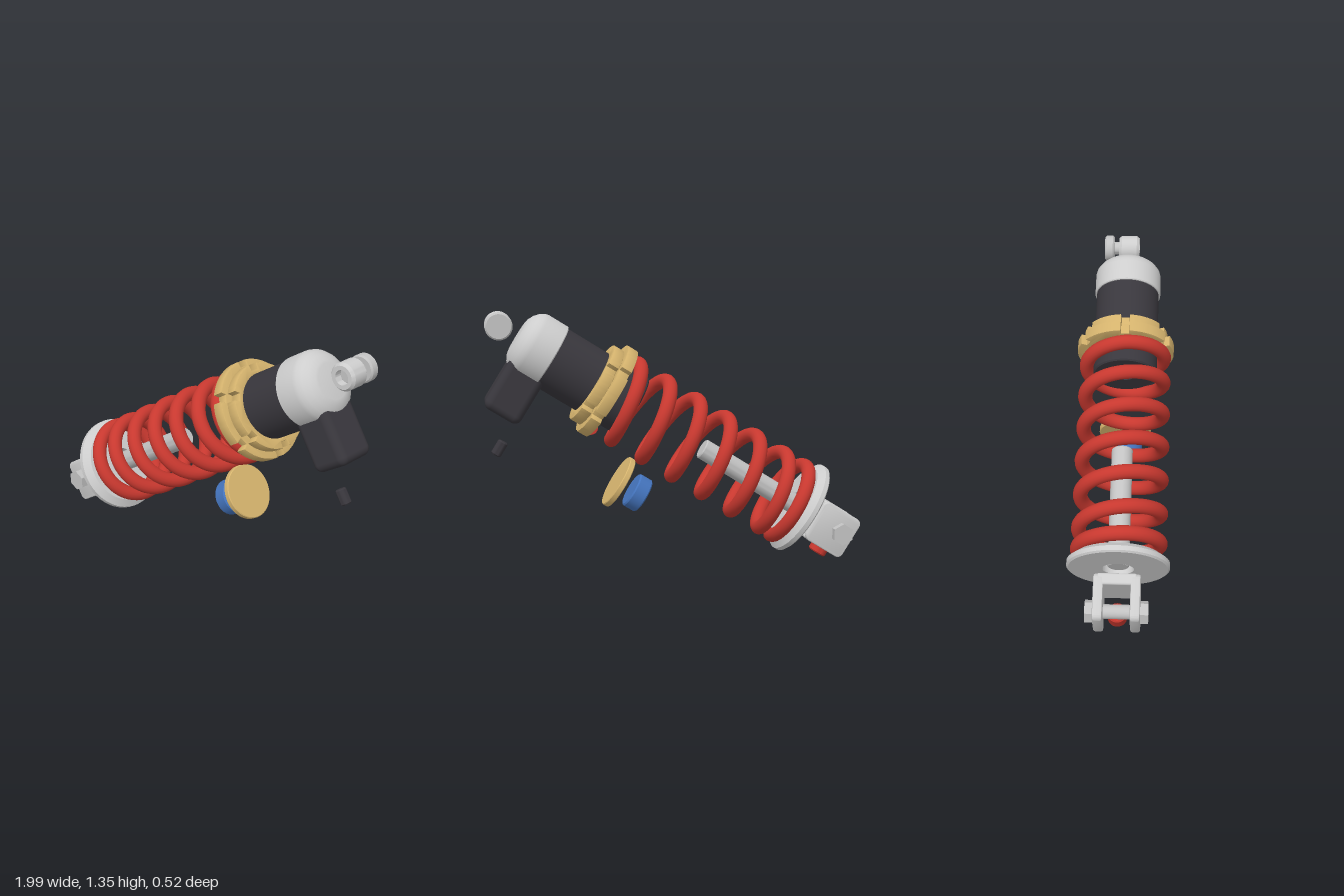
import * as THREE from 'three';
import { toCreasedNormals } from 'three/addons/utils/BufferGeometryUtils.js';
import { RoundedBoxGeometry } from 'three/addons/geometries/RoundedBoxGeometry.js';

const paint = (name, color) => Object.assign(new THREE.MeshStandardMaterial({ color }), { name });
const V2 = (p) => new THREE.Vector2(p[0], p[1]);

// turned part from [radius, height] pairs, listed bottom to top
const lathe = (pts, seg = 48) => toCreasedNormals(new THREE.LatheGeometry(pts.map(V2), seg), 0.55);
// cylinder with chamfered rims
const puck = (r, h, c, seg = 40) => lathe([[0, -h / 2], [r - c, -h / 2], [r, c - h / 2], [r, h / 2 - c], [r - c, h / 2], [0, h / 2]], seg);

const extrude = (shape, depth, b) => toCreasedNormals(new THREE.ExtrudeGeometry(shape, {
  depth: depth - 2 * b, bevelThickness: b, bevelSize: b, bevelOffset: -b, bevelSegments: 2, curveSegments: 12,
}), 0.6).translate(0, 0, b - depth / 2);

// adjuster ring with six spanner slots
function slottedRing(R, inner, h) {
  const s = new THREE.Shape(), half = 0.024 / R, floor = R - 0.032;
  for (let i = 0; i < 6; i++) {
    const a = i * Math.PI / 3 + half, b = (i + 1) * Math.PI / 3 - half;
    s.absarc(0, 0, R, a, b, false);
    s.lineTo(floor * Math.cos(b), floor * Math.sin(b));
    s.lineTo(floor * Math.cos(b + 2 * half), floor * Math.sin(b + 2 * half));
  }
  s.closePath();
  s.holes.push(new THREE.Path().absarc(0, 0, inner, 0, Math.PI * 2, true));
  return extrude(s, h, 0.005).rotateX(-Math.PI / 2);
}

function roundedRect(w, h, r) {
  const s = new THREE.Shape(), x = w / 2 - r, y = h / 2 - r;
  s.absarc(x, y, r, 0, Math.PI / 2, false);
  s.absarc(-x, y, r, Math.PI / 2, Math.PI, false);
  s.absarc(-x, -y, r, Math.PI, Math.PI * 1.5, false);
  s.absarc(x, -y, r, Math.PI * 1.5, Math.PI * 2, false);
  s.closePath();
  return s;
}

// seven-turn helix with closely wound ends
class SpringCurve extends THREE.Curve {
  getPoint(u, target = new THREE.Vector3()) {
    const turns = [0, 0.5, 1, 1.5, 2, 5.5, 6, 6.5, 7];
    const height = [0.068, 0.102, 0.148, 0.242, 0.332, 0.993, 1.087, 1.172, 1.212];
    const n = u * 7, a = n * Math.PI * 2;
    let i = 0;
    while (i < turns.length - 2 && n > turns[i + 1]) i++;
    const y = THREE.MathUtils.mapLinear(n, turns[i], turns[i + 1], height[i], height[i + 1]);
    return target.set(0.208 * Math.cos(a), y, -0.208 * Math.sin(a));
  }
}

export function createModel() {
  const red = paint('spring red', 0xc8382f);
  const gold = paint('anodised gold', 0xd6b46e);
  const light = paint('light metal', 0xcdcdcd);
  const steel = paint('steel', 0xc2c2c2);
  const dark = paint('dark grey', 0x39373d);
  const blue = paint('piston blue', 0x4474bd);

  // everything is built along local y, then tilted
  const model = new THREE.Group();
  model.name = 'shockAbsorber';
  const axis = new THREE.Group();
  axis.name = 'damperAssembly';
  axis.rotation.z = -THREE.MathUtils.degToRad(58);
  axis.position.set(-0.682, 0.275, 0);
  model.add(axis);

  const add = (name, geo, mat, x = 0, y = 0, z = 0, parent = axis) => {
    const m = new THREE.Mesh(geo, mat);
    m.name = name;
    m.position.set(x, y, z);
    parent.add(m);
    return m;
  };

  // lower spring plate and piston rod
  add('springPlate', lathe([[0.08, -0.012], [0.25, -0.012], [0.26, -0.004], [0.26, 0.02], [0.222, 0.048],
    [0.08, 0.048], [0.08, -0.012]], 64), light);
  add('pistonRod', puck(0.055, 0.645, 0.006), steel, 0, 0.322);

  // coil spring with closed ends
  const curve = new SpringCurve();
  curve.arcLengthDivisions = 800;
  add('coilSpring', new THREE.TubeGeometry(curve, 480, 0.038, 16), red);
  for (const u of [0, 1]) {
    const cap = add('springEnd', new THREE.CircleGeometry(0.038, 16), red);
    cap.position.copy(curve.getPointAt(u));
    cap.quaternion.setFromUnitVectors(new THREE.Vector3(0, 0, 1), curve.getTangentAt(u).multiplyScalar(u ? 1 : -1));
  }

  // damper body with a bore in its lower face
  add('damperBody', lathe([[0, 1.25], [0.055, 1.25], [0.055, 1.085], [0.164, 1.085], [0.171, 1.092],
    [0.171, 1.6], [0, 1.6]], 64), dark);
  add('lowerAdjusterRing', slottedRing(0.26, 0.165, 0.06), gold, 0, 1.242);
  add('upperAdjusterRing', slottedRing(0.224, 0.165, 0.06), gold, 0, 1.304);

  // domed head
  add('head', lathe([[0, 1.582], [0.176, 1.582], [0.18, 1.587], [0.18, 1.7], [0.175, 1.722], [0.16, 1.745],
    [0.135, 1.767], [0.105, 1.782], [0.09, 1.785], [0, 1.785]], 64), light);

  // side reservoir and loose valve
  add('reservoir', new RoundedBoxGeometry(0.3, 0.21, 0.226, 5, 0.04), dark, 0.24, 1.655);
  add('valve', puck(0.028, 0.082, 0.006, 24).rotateZ(Math.PI / 2), dark, 0.542, 1.564);

  // loose piston and cap disc
  add('floatingPiston', puck(0.095, 0.077, 0.007), blue, 0.379, 0.818);
  add('capDisc', puck(0.144, 0.032, 0.004, 48), gold, 0.379, 0.935);

  // upper mounting eye with its pin
  const eye = new THREE.Group();
  eye.name = 'upperEye';
  eye.position.set(0, 1.897, 0);
  axis.add(eye);
  add('eyeBushing', lathe([[0.037, -0.057], [0.058, -0.057], [0.07, -0.042], [0.07, 0.042], [0.058, 0.057],
    [0.037, 0.057], [0.037, -0.057]]).rotateX(Math.PI / 2), light, 0, 0, 0, eye);
  add('pinHead', puck(0.07, 0.052, 0.008).rotateX(Math.PI / 2), steel, 0, 0, -0.111, eye);
  add('pinShank', puck(0.036, 0.11, 0.002, 24).rotateX(Math.PI / 2), steel, 0, 0, -0.035, eye);

  // lower clevis: two arms, a bridge and a cross bolt
  const clevis = new THREE.Group();
  clevis.name = 'clevis';
  axis.add(clevis);
  const arm = extrude(roundedRect(0.235, 0.24, 0.032), 0.05, 0.01);
  for (const side of [-1, 1]) {
    add('clevisArm', arm, light, 0.008, -0.186, side * 0.092, clevis);
    add('boltHead', toCreasedNormals(new THREE.CylinderGeometry(0.058, 0.058, 0.04, 6), 0.3).rotateX(Math.PI / 2),
      steel, 0, -0.233, side * 0.137, clevis);
  }
  add('clevisBridge', new RoundedBoxGeometry(0.232, 0.06, 0.2, 3, 0.012), light, 0.008, -0.097, 0, clevis);
  add('crossBolt', new THREE.CylinderGeometry(0.036, 0.036, 0.3, 24).rotateX(Math.PI / 2), steel, 0, -0.233, 0, clevis);

  // rebound knob under the clevis
  add('reboundKnob', puck(0.05, 0.085, 0.007, 32).rotateZ(Math.PI / 2), red, 0.122, -0.212);

  return model;
}
